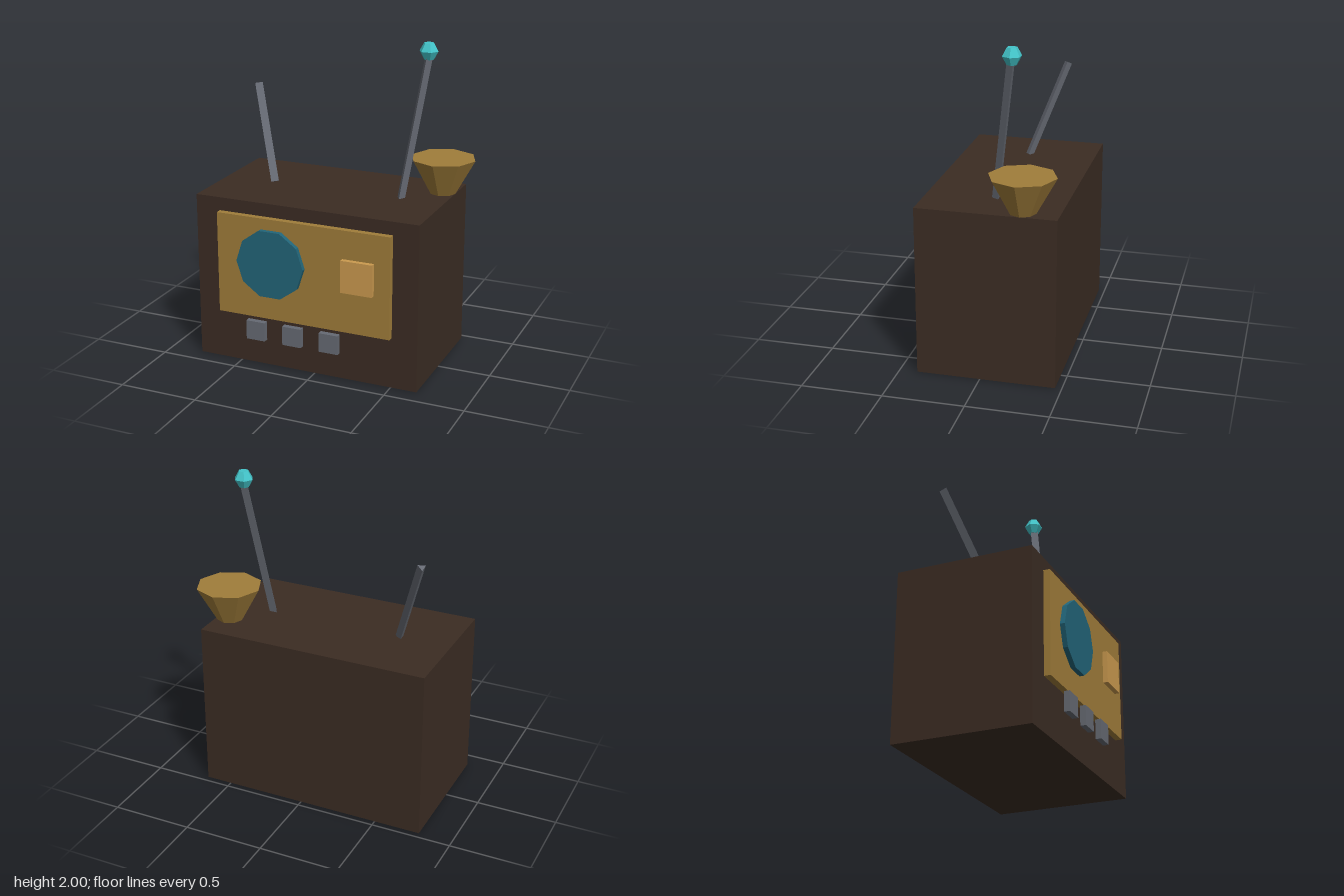
import * as THREE from 'three';

const mat = (name, color) => {
  const m = new THREE.MeshStandardMaterial({ color, flatShading: true });
  m.name = name;
  return m;
};

export function createModel() {
  const group = new THREE.Group();
  const brown = mat('darkBrown', 0x3b2c23);
  const brass = mat('brass', 0xa07d3a);
  const teal = mat('teal', 0x226579);
  const amber = mat('amber', 0xcb9a4f);
  const grey = mat('grey', 0x666a73);
  const cyan = mat('cyan', 0x43c4c9);

  const add = (name, geometry, material, x, y, z) => {
    const mesh = new THREE.Mesh(geometry, material);
    mesh.name = name;
    mesh.position.set(x, y, z);
    group.add(mesh);
    return mesh;
  };
  // Box given by its lower and upper corners
  const addBox = (name, material, [x0, y0, z0], [x1, y1, z1]) =>
    add(name, new THREE.BoxGeometry(x1 - x0, y1 - y0, z1 - z0), material,
      (x0 + x1) / 2, (y0 + y1) / 2, (z0 + z1) / 2);

  // Cabinet and front panel
  addBox('cabinet', brown, [-0.79, 0, -0.46], [0.665, 1.057, 0.39]);
  addBox('frontPanel', brass, [-0.63, 0.327, 0.39], [0.503, 0.974, 0.43]);
  addBox('display', amber, [0.2, 0.592, 0.43], [0.402, 0.795, 0.46]);

  // Ten-sided speaker
  const speaker = new THREE.CylinderGeometry(0.222, 0.222, 0.03, 10, 1, false, Math.PI / 2);
  speaker.rotateX(Math.PI / 2);
  add('speaker', speaker, teal, -0.266, 0.693, 0.445);

  // Row of buttons, standing proud of the cabinet
  [-0.368, -0.124, 0.12].forEach((x, i) =>
    addBox('button' + (i + 1), grey, [x - 0.062, 0.184, 0.425], [x + 0.062, 0.306, 0.46]));

  // Three-sided antennas between two points
  const addAntenna = (name, from, to, turn) => {
    const a = new THREE.Vector3(...from);
    const dir = new THREE.Vector3(...to).sub(a);
    const length = dir.length();
    const rod = new THREE.CylinderGeometry(0.028, 0.028, length, 3, 1, false, turn);
    rod.translate(0, length / 2, 0);
    add(name, rod, grey, ...from).quaternion
      .setFromUnitVectors(new THREE.Vector3(0, 1, 0), dir.normalize());
  };
  addAntenna('leftAntenna', [0.385, 1.055, -0.035], [0.505, 1.93, -0.155], 0);
  addAntenna('rightAntenna', [-0.463, 1.055, -0.035], [-0.668, 1.63, -0.24], Math.PI / 2);

  // Faceted ball on the taller antenna
  const profile = [[0, -0.05], [0.031, -0.05], [0.059, 0], [0.031, 0.05], [0, 0.05]]
    .map(([x, y]) => new THREE.Vector2(x, y));
  const ball = new THREE.LatheGeometry(profile, 6, Math.PI / 6);
  add('antennaBall', ball, cyan, 0.505, 1.95, -0.157);

  // Eight-sided flared horn on the top corner
  add('horn', new THREE.CylinderGeometry(0.203, 0.08, 0.225, 8), brass, 0.585, 1.167, -0.24);

  return group;
}
